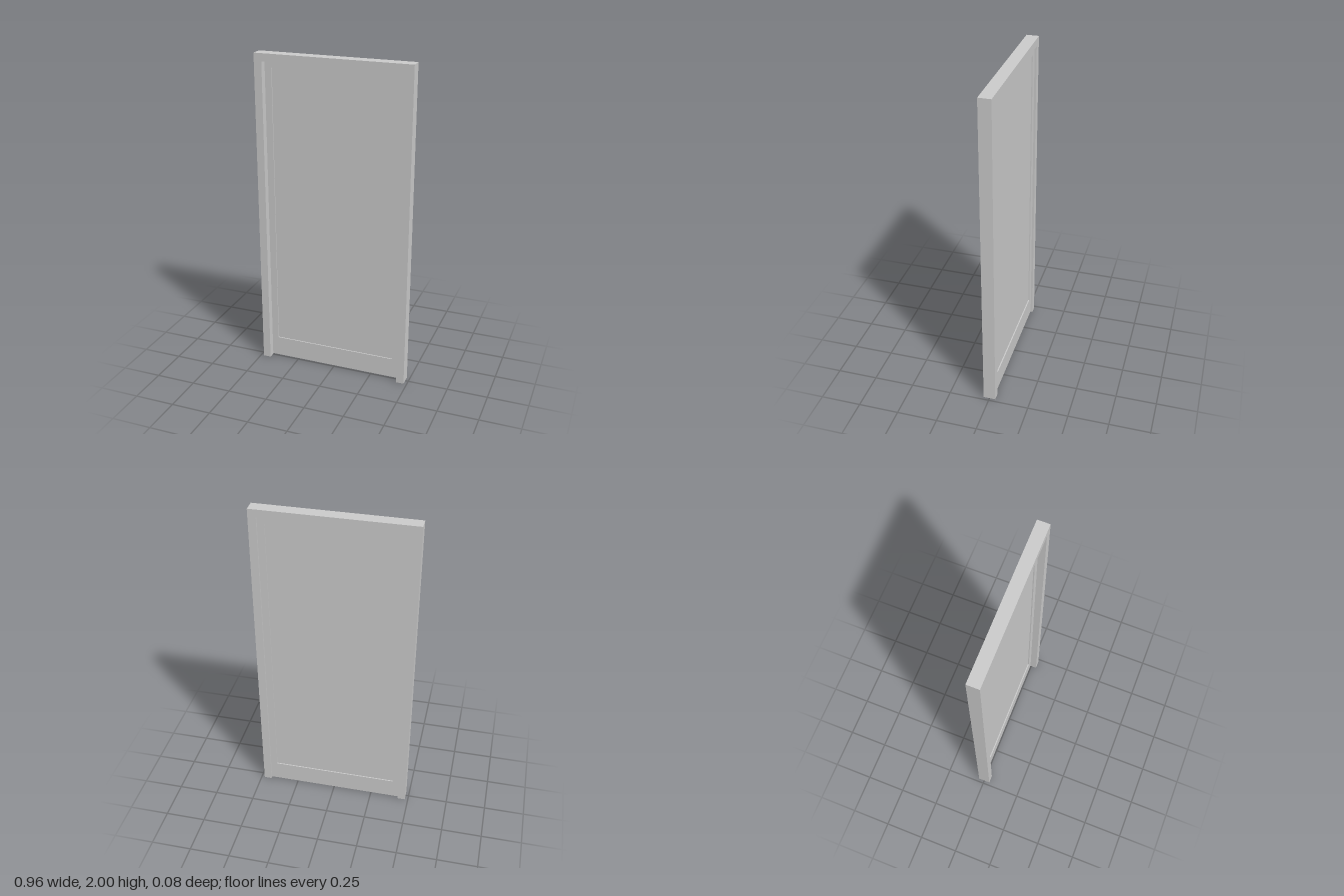
import * as THREE from 'three';

const material = new THREE.MeshStandardMaterial({ color: 0xcccccc, flatShading: true });

// Rectangle outline given by half width, bottom and top
function rectangle(PathType, halfWidth, bottom, top) {
  const path = new PathType();
  path.moveTo(-halfWidth, bottom);
  path.lineTo(halfWidth, bottom);
  path.lineTo(halfWidth, top);
  path.lineTo(-halfWidth, top);
  path.closePath();
  return path;
}

// Extrude a flat outline between two depths
function slab(name, shape, back, front) {
  const geometry = new THREE.ExtrudeGeometry(shape, { depth: front - back, bevelEnabled: false });
  geometry.translate(0, 0, back);
  const mesh = new THREE.Mesh(geometry, material);
  mesh.name = name;
  return mesh;
}

export function createModel() {
  const door = new THREE.Group();
  door.name = 'door';

  // Surrounding frame: two jambs joined by a head, open at the floor
  const frame = new THREE.Shape();
  [[-0.48, 0], [-0.432, 0], [-0.432, 1.953], [0.432, 1.953],
    [0.432, 0], [0.48, 0], [0.48, 2], [-0.48, 2]]
    .forEach(([x, y], i) => (i ? frame.lineTo(x, y) : frame.moveTo(x, y)));
  frame.closePath();
  door.add(slab('doorFrame', frame, -0.0375, 0.0375));

  // Door leaf: border with a tall bottom rail, set toward the back of the frame
  const leaf = rectangle(THREE.Shape, 0.432, 0.005, 1.953);
  leaf.holes.push(rectangle(THREE.Path, 0.39, 0.133, 1.911));
  door.add(slab('leafBorder', leaf, -0.025, -0.005));

  // Thin panel recessed on both faces of the leaf
  door.add(slab('leafPanel', rectangle(THREE.Shape, 0.39, 0.133, 1.911), -0.018, -0.012));

  return door;
}
